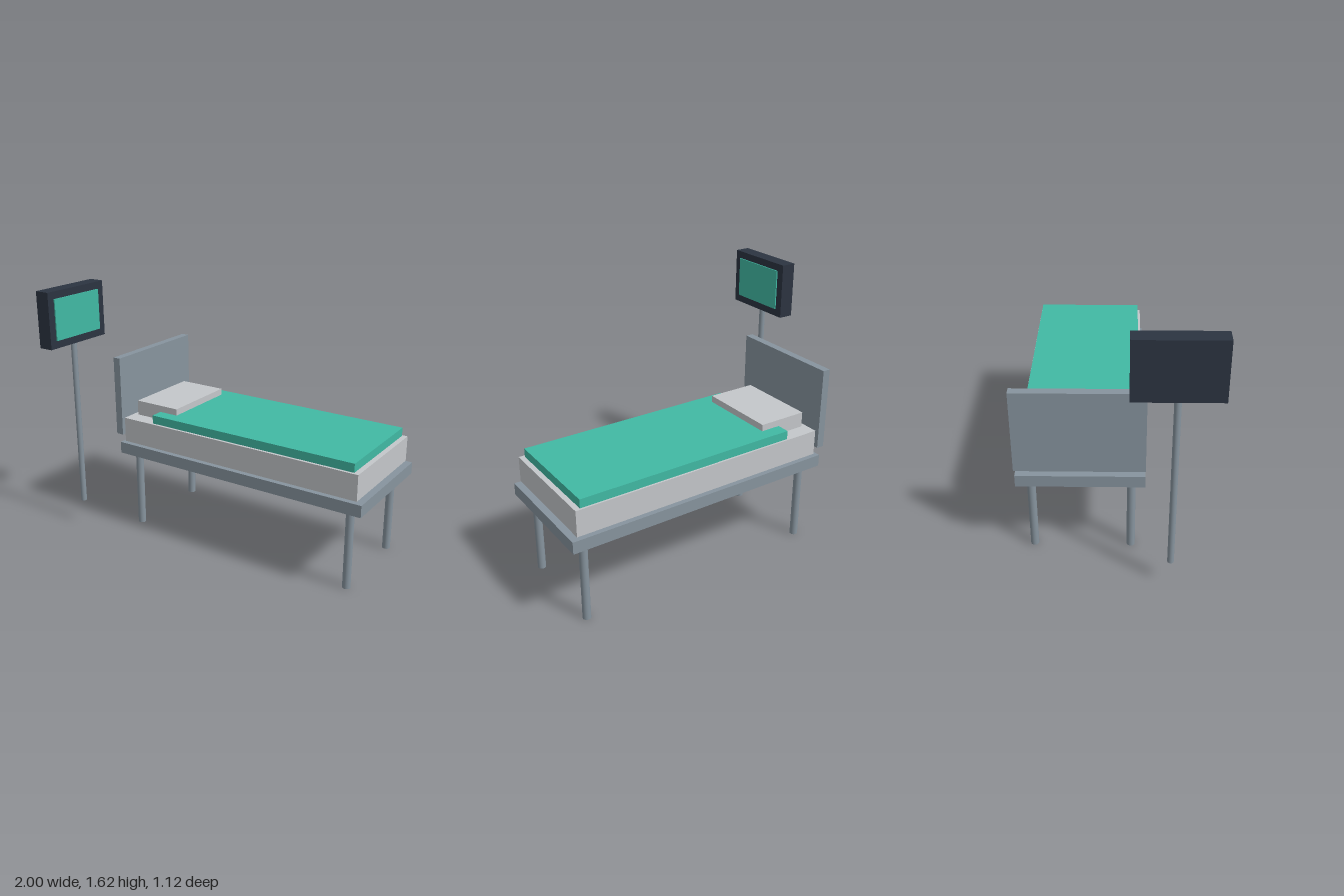
import * as THREE from 'three';

export function createModel() {
  const model = new THREE.Group();
  model.name = 'hospitalBed';

  const material = (name, color) => {
    const m = new THREE.MeshStandardMaterial({ color });
    m.name = name;
    return m;
  };
  const metal = material('greyMetal', 0x87949e);
  const linen = material('paleLinen', 0xc4c7ca);
  const green = material('teal', 0x41b9a4);
  const dark = material('darkCasing', 0x2c3441);

  const add = (name, geometry, mat, x, y, z) => {
    const mesh = new THREE.Mesh(geometry, mat);
    mesh.name = name;
    mesh.position.set(x, y, z);
    model.add(mesh);
  };
  // Box given by its extents on each axis
  const box = (name, mat, [x0, x1], [y0, y1], [z0, z1]) =>
    add(name, new THREE.BoxGeometry(x1 - x0, y1 - y0, z1 - z0), mat,
      (x0 + x1) / 2, (y0 + y1) / 2, (z0 + z1) / 2);
  // Upright round post
  const post = (name, mat, r, x, z, y0, y1) =>
    add(name, new THREE.CylinderGeometry(r, r, y1 - y0, 20), mat, x, (y0 + y1) / 2, z);

  // Bed
  box('bedFrame', metal, [-0.728, 1], [0.51, 0.585], [-0.56, 0.176]);
  box('headboard', metal, [-0.755, -0.706], [0.641, 1.156], [-0.56, 0.176]);
  box('mattress', linen, [-0.696, 0.964], [0.595, 0.756], [-0.542, 0.161]);
  box('blanket', green, [-0.478, 0.932], [0.756, 0.81], [-0.53, 0.144]);
  box('pillow', linen, [-0.665, -0.349], [0.756, 0.852], [-0.448, 0.062]);
  for (const x of [-0.635, 0.902])
    for (const z of [0.098, -0.48]) post('leg', metal, 0.025, x, z, 0, 0.51);

  // Monitor on its pole, screen facing the bed
  post('monitorPole', metal, 0.019, -0.953, 0.32, 0.165, 1.268);
  box('monitorCasing', dark, [-1, -0.906], [1.268, 1.618], [0.08, 0.56]);
  box('monitorScreen', green, [-0.906, -0.898], [1.316, 1.572], [0.13, 0.513]);

  return model;
}
